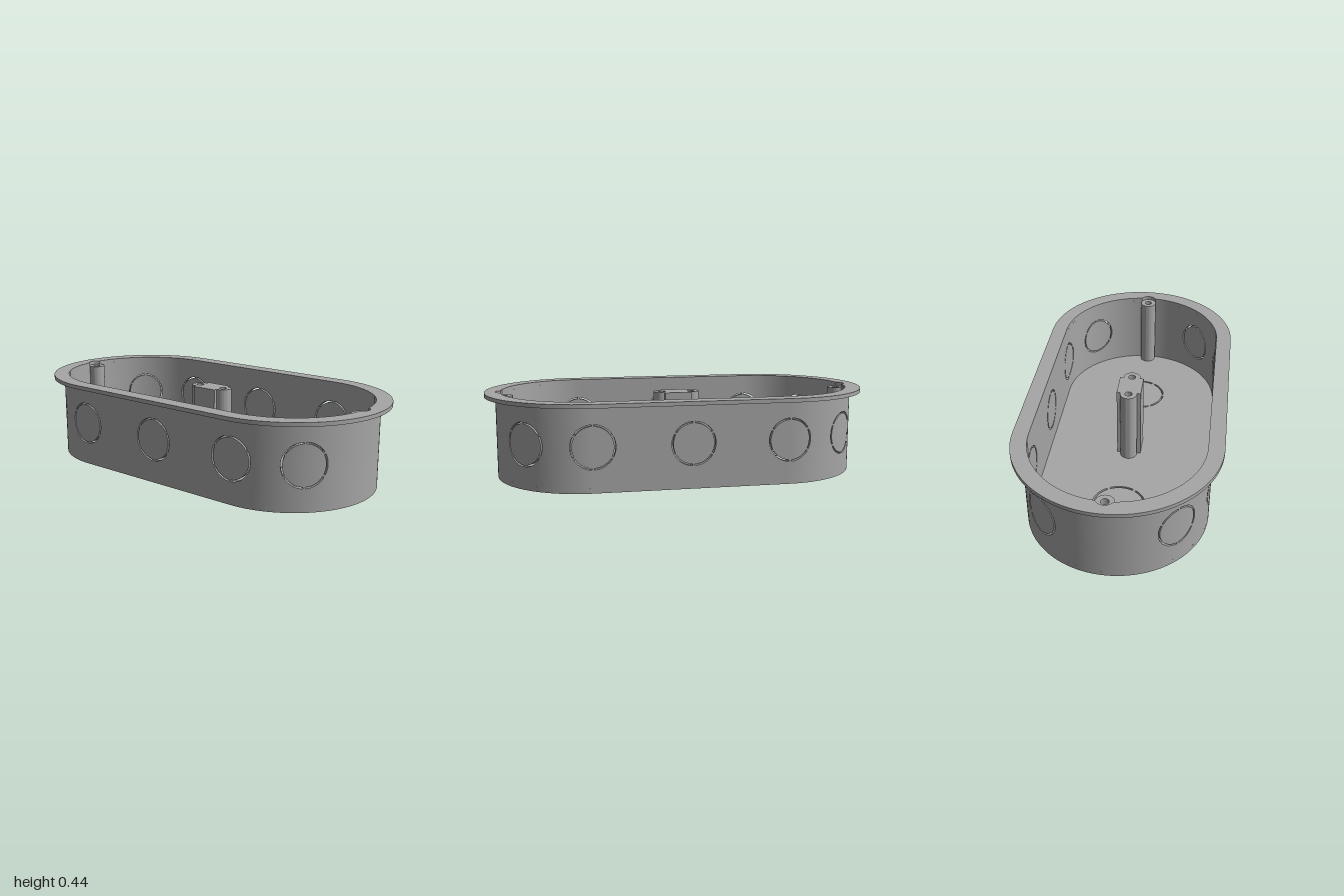
import * as THREE from 'three';
import { toCreasedNormals } from 'three/addons/utils/BufferGeometryUtils.js';

const END = 0.49;        // x of the rounded end centres
const R = 0.455;         // outer wall radius
const WALL = 0.025;      // wall and floor thickness
const TOP = 0.42;        // underside of the flange
const KNOCK_Y = 0.225;   // height of the side knockouts
const STEPS = 60;        // angular steps round a knockout
const STEP = (Math.PI * 2) / STEPS;
const isBridge = (i) => i % 10 === 5;
const angle = (i) => (i - 0.5) * STEP;

// Wall point: s runs along the outside from front centre, d is depth inward
function wallPoint(s, y, d) {
  const r = R - d;
  const over = Math.abs(s) - END;
  if (over <= 0) return new THREE.Vector3(s, y, r);
  const a = over / R;
  return new THREE.Vector3(Math.sign(s) * (END + r * Math.sin(a)), y, r * Math.cos(a));
}

// Half of the wall, as plain strips and panels with slotted knockout rings
function halfWallGeometry() {
  const pos = [], nor = [];
  const put = (p, n) => { pos.push(p.x, p.y, p.z); nor.push(n.x, n.y, n.z); };
  const normal = (s) => wallPoint(s, 0, 0).sub(wallPoint(s, 0, 0.1)).normalize();

  // Outer and inner skin over four (s, y) corners
  const skin = (a, b, c, d) => {
    for (const q of [a, b, c, a, c, d]) put(wallPoint(q[0], q[1], 0), normal(q[0]));
    for (const q of [a, c, b, a, d, c]) put(wallPoint(q[0], q[1], WALL), normal(q[0]).negate());
  };
  // Cut face through the wall, visible from the left of a to b
  const cut = (a, b) => {
    const p = wallPoint(...a, 0), q = wallPoint(...b, 0);
    const pi = wallPoint(...a, WALL), qi = wallPoint(...b, WALL);
    const n = q.clone().sub(p).cross(qi.clone().sub(p)).normalize();
    for (const v of [p, q, qi, p, qi, pi]) put(v, n);
  };
  const strip = (s0, s1) => {
    const n = Math.max(2, Math.ceil((s1 - s0) / 0.025));
    for (let i = 0; i < n; i++) {
      const a = s0 + ((s1 - s0) * i) / n, b = s0 + ((s1 - s0) * (i + 1)) / n;
      skin([a, WALL], [b, WALL], [b, TOP], [a, TOP]);
    }
  };

  const half = 0.13, ri = 0.102, ro = 0.11;
  // Point on the rectangular panel edge, snapped to the corners
  const edge = (t) => {
    const c = Math.cos(t), s = Math.sin(t);
    const h = s > 0 ? TOP - KNOCK_Y : KNOCK_Y - WALL;
    const fromX = Math.atan2(Math.abs(s), Math.abs(c));
    if (Math.abs(fromX - Math.atan2(h, half)) < STEP * 0.501) {
      return [Math.sign(c) * half, Math.sign(s) * h];
    }
    const k = Math.min(half / Math.abs(c), h / Math.abs(s));
    return [c * k, s * k];
  };
  const panel = (s0) => {
    const ring = (r, i) => [s0 + r * Math.cos(angle(i)), KNOCK_Y + r * Math.sin(angle(i))];
    const outer = (f, i) => {
      const a = ring(ro, i), e = edge(angle(i));
      return [a[0] + (s0 + e[0] - a[0]) * f, a[1] + (KNOCK_Y + e[1] - a[1]) * f];
    };
    for (let i = 0; i < STEPS; i++) {
      const j = i + 1;
      for (let k = 0; k < 4; k++) {
        const a = (ri * k) / 4, b = (ri * (k + 1)) / 4;
        skin(ring(a, i), ring(b, i), ring(b, j), ring(a, j));
      }
      for (let k = 0; k < 3; k++) {
        const a = k / 3, b = (k + 1) / 3;
        skin(outer(a, i), outer(b, i), outer(b, j), outer(a, j));
      }
      if (isBridge(i)) {
        skin(ring(ri, i), ring(ro, i), ring(ro, j), ring(ri, j));
        cut(ring(ro, i), ring(ri, i));
        cut(ring(ri, j), ring(ro, j));
      } else {
        cut(ring(ri, j), ring(ri, i));
        cut(ring(ro, i), ring(ro, j));
      }
    }
  };

  const centres = [-END, 0, END, END + (R * Math.PI) / 4, END + (R * Math.PI * 3) / 4];
  const finish = END + R * Math.PI - half;
  centres.forEach((c, i) => {
    panel(c);
    strip(c + half, i < centres.length - 1 ? centres[i + 1] - half : finish);
  });
  const g = new THREE.BufferGeometry();
  g.setAttribute('position', new THREE.Float32BufferAttribute(pos, 3));
  g.setAttribute('normal', new THREE.Float32BufferAttribute(nor, 3));
  return g;
}

// Long rounded outline
function stadium(r, Type = THREE.Shape) {
  const s = new Type();
  s.absarc(END, 0, r, -Math.PI / 2, Math.PI / 2, false);
  s.absarc(-END, 0, r, Math.PI / 2, Math.PI * 1.5, false);
  s.closePath();
  return s;
}

// Extrude a plan outline upward from y0 to y1
function slab(shape, y0, y1) {
  const g = new THREE.ExtrudeGeometry(shape, { depth: y1 - y0, bevelEnabled: false, curveSegments: 40 });
  g.rotateX(-Math.PI / 2);
  g.translate(0, y0, 0);
  return toCreasedNormals(g, 0.6);
}

function circleHole(x, r) {
  return new THREE.Path().absarc(x, 0, r, 0, Math.PI * 2, true);
}

export function createModel() {
  const group = new THREE.Group();
  const grey = new THREE.MeshStandardMaterial({ color: 0xa6a6a6 });
  grey.name = 'grey plastic';
  const add = (name, geometry) => {
    const m = new THREE.Mesh(geometry, grey);
    m.name = name;
    group.add(m);
    return m;
  };

  // Side wall: two matching halves
  const wall = halfWallGeometry();
  add('frontWall', wall);
  add('backWall', wall).rotation.y = Math.PI;

  // Floor with two slotted knockout rings
  const floor = stadium(R);
  for (const x of [-END, END]) {
    for (let k = 0; k < 6; k++) {
      const a0 = angle(k * 10 + 6), a1 = angle(k * 10 + 15);
      const slot = new THREE.Path();
      slot.absarc(x, 0, 0.137, a0, a1, false);
      slot.absarc(x, 0, 0.128, a1, a0, true);
      slot.closePath();
      floor.holes.push(slot);
    }
  }
  add('floor', slab(floor, 0, WALL));

  // Flange, its opening notched round the end screw posts
  const postX = 0.9, postR = 0.044, inner = R - WALL, off = postX - END;
  const ix = (off * off + inner * inner - postR * postR) / (2 * off);
  const iy = Math.sqrt(inner * inner - ix * ix);
  const a = Math.atan2(iy, ix), b = Math.atan2(iy, ix - off);
  const opening = new THREE.Path();
  for (const [side, turn] of [[1, 0], [-1, Math.PI]]) {
    opening.absarc(side * END, 0, inner, turn - Math.PI / 2, turn - a, false);
    opening.absarc(side * postX, 0, postR, turn - b, turn + b, false);
    opening.absarc(side * END, 0, inner, turn + a, turn + Math.PI / 2, false);
  }
  opening.closePath();
  const flange = stadium(0.51);
  flange.holes.push(opening);
  add('flange', slab(flange, TOP, 0.44));

  // End screw posts
  for (const [name, x] of [['leftScrewPost', postX], ['rightScrewPost', -postX]]) {
    const post = new THREE.Shape().absarc(x, 0, postR, 0, Math.PI * 2, false);
    post.holes.push(circleHole(x, 0.019));
    add(name, slab(post, 0.015, TOP));
  }

  // Central twin screw post: a block with a round boss at each end
  const cx = 0.078, cr = 0.044, bx = 0.07, bz = 0.063;
  const t = Math.acos((bx - cx) / cr), h = cr * Math.sin(t);
  const centre = new THREE.Shape();
  centre.moveTo(bx, -bz);
  centre.lineTo(bx, -h);
  centre.absarc(cx, 0, cr, -t, t, false);
  centre.lineTo(bx, bz);
  centre.lineTo(-bx, bz);
  centre.lineTo(-bx, h);
  centre.absarc(-cx, 0, cr, Math.PI - t, Math.PI + t, false);
  centre.lineTo(-bx, -bz);
  centre.closePath();
  centre.holes.push(circleHole(cx, 0.019), circleHole(-cx, 0.019));
  add('centreScrewPost', slab(centre, 0.015, TOP));

  return group;
}
